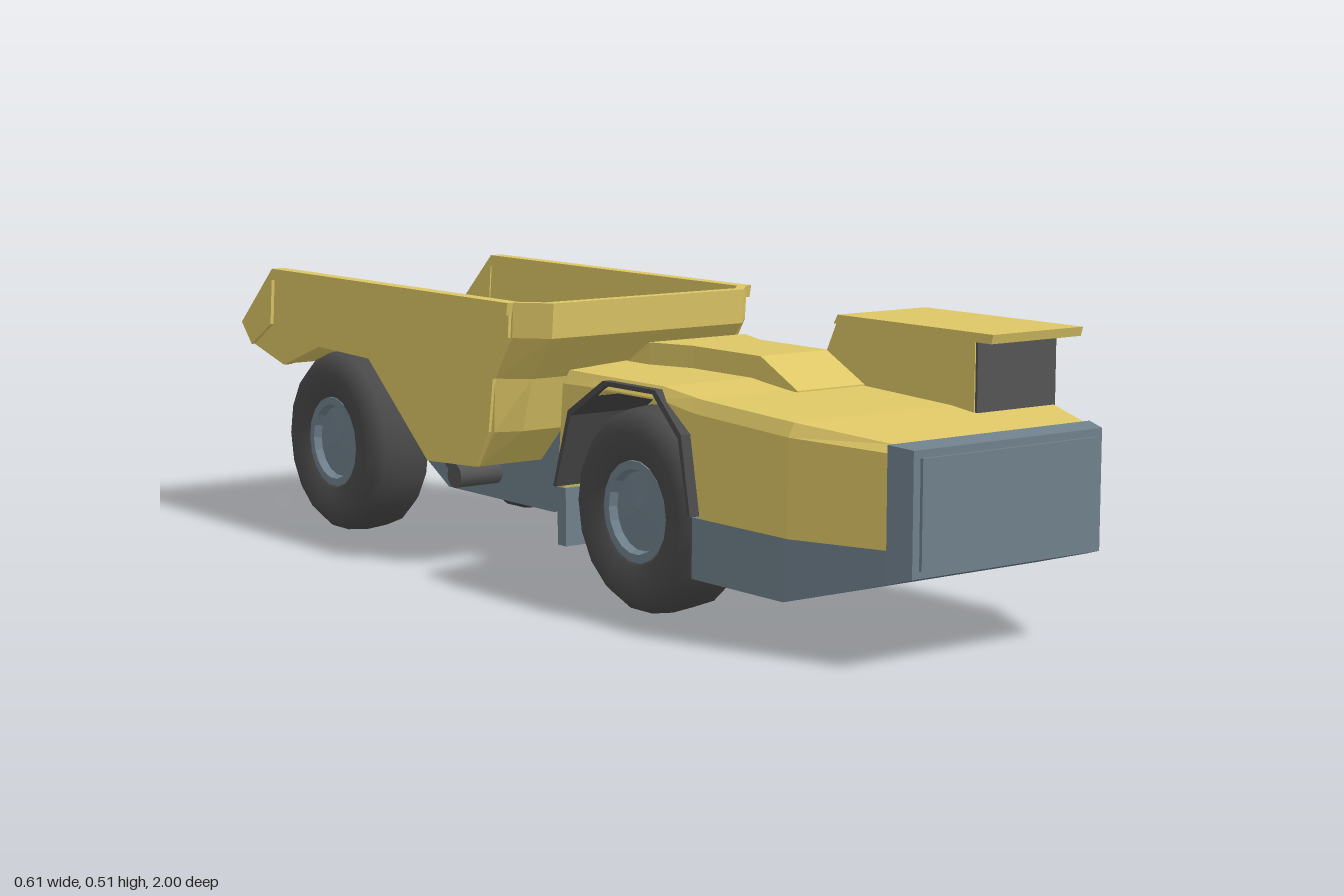
import * as THREE from 'three';

const paint = (color, side = THREE.FrontSide) => new THREE.MeshStandardMaterial({ color, side });
const yellow = paint(0xdec766), steel = paint(0x70818d), dark = paint(0x555555), rubber = paint(0x4a4a4a, THREE.DoubleSide);

export function createModel() {
  const root = new THREE.Group();

  const add = (name, geo, mat) => {
    const m = new THREE.Mesh(geo, mat);
    m.name = name;
    root.add(m);
    return m;
  };

  // Flat-faced skin over rings of [x, y, z]; rings run counter-clockwise seen from the first end
  const loft = (name, rings, mat) => {
    const v = [], n = rings[0].length;
    const tri = (a, b, c) => v.push(...a, ...b, ...c);
    for (let s = 0; s + 1 < rings.length; s++) {
      for (let i = 0; i < n; i++) {
        const j = (i + 1) % n, a = rings[s], b = rings[s + 1];
        tri(a[i], b[i], b[j]);
        tri(a[i], b[j], a[j]);
      }
    }
    // end caps, triangulated so that concave rings work too
    const cap = (ring, reverse) => {
      const spread = k => Math.max(...ring.map(p => p[k])) - Math.min(...ring.map(p => p[k]));
      const skip = [0, 1, 2].reduce((a, b) => (spread(b) < spread(a) ? b : a));
      const flat = ring.map(p => skip === 0 ? new THREE.Vector2(-p[2], p[1])
        : skip === 1 ? new THREE.Vector2(p[0], -p[2]) : new THREE.Vector2(p[0], p[1]));
      for (const [a, b, c] of THREE.ShapeUtils.triangulateShape(flat, [])) {
        if (reverse) tri(ring[c], ring[b], ring[a]);
        else tri(ring[a], ring[b], ring[c]);
      }
    };
    cap(rings[0], false);
    cap(rings[rings.length - 1], true);
    const g = new THREE.BufferGeometry();
    g.setAttribute('position', new THREE.Float32BufferAttribute(v, 3));
    g.computeVertexNormals();
    return add(name, g, mat);
  };
  const rect = (z, hw, lo, hi, zTop = z) => [[hw, lo, z], [hw, hi, zTop], [-hw, hi, zTop], [-hw, lo, z]];

  // Side outline of [z, y] points extruded from x0 to x1
  const slab = (name, pts, x0, x1, mat) => {
    const g = new THREE.ExtrudeGeometry(new THREE.Shape(pts.map(p => new THREE.Vector2(...p))), { depth: x1 - x0, bevelEnabled: false });
    g.rotateY(-Math.PI / 2).translate(x1, 0, 0);
    return add(name, g, mat);
  };
  const pair = (name, pts, x0, x1, mat) => [slab(name + 'Left', pts, x0, x1, mat), slab(name + 'Right', pts, -x1, -x0, mat)];
  const box = (name, w, h, d, x, y, z, mat) => add(name, new THREE.BoxGeometry(w, h, d).translate(x, y, z), mat);
  const rod = (name, a, b, r, mat, sides = 12) => {
    const A = new THREE.Vector3(...a), B = new THREE.Vector3(...b);
    const m = add(name, new THREE.CylinderGeometry(r, r, A.distanceTo(B), sides), mat);
    m.position.copy(A).add(B).multiplyScalar(0.5);
    m.quaternion.setFromUnitVectors(new THREE.Vector3(0, 1, 0), B.sub(A).normalize());
  };

  // Tractor body: z, half width, lower edge, shoulder, top, z of top
  const bodyStations = [
    [0.95, 0.222, 0.2, 0.355, 0.368], [0.78, 0.283, 0.2, 0.365, 0.388], [0.55, 0.283, 0.2, 0.375, 0.398],
    [0.525, 0.283, 0.34, 0.377, 0.4], [0.435, 0.283, 0.387, 0.39, 0.41], [0.285, 0.283, 0.387, 0.39, 0.41],
    [0.2, 0.283, 0.345, 0.388, 0.41], [0.16, 0.283, 0.2, 0.387, 0.41], [0.14, 0.283, 0.2, 0.386, 0.41, 0.16],
    [0.05, 0.11, 0.2, 0.385, 0.41, 0.11],
  ];
  loft('tractorBody', bodyStations.map(([z, w, lo, sh, top, zt = z]) => {
    const t = w > 0.2 ? w - 0.013 : w, zs = z + (zt - z) * 0.88;
    return [[w, lo, z], [w, sh, zs], [t, top, zt], [-t, top, zt], [-w, sh, zs], [-w, lo, z]];
  }), yellow);
  loft('engineBay', [rect(0.56, 0.14, 0.2, 0.39), rect(0.14, 0.14, 0.2, 0.39)], yellow);

  // Grey nose and lower hull
  loft('nose', [rect(0.994, 0.207, 0.158, 0.363), rect(0.95, 0.2225, 0.145, 0.3685)], steel);
  loft('lowerHull', [rect(0.95, 0.222, 0.145, 0.2), rect(0.77, 0.283, 0.095, 0.2), rect(0.53, 0.283, 0.095, 0.2)], steel);
  loft('belly', [rect(0.53, 0.14, 0.095, 0.2), rect(0.16, 0.14, 0.095, 0.2)], steel);
  loft('rearHull', [rect(0.165, 0.283, 0.095, 0.2), rect(0.14, 0.283, 0.095, 0.2), rect(0.05, 0.11, 0.095, 0.2)], steel);
  box('nosePanel', 0.385, 0.18, 0.008, 0, 0.26, 0.996, steel);

  // Raised hood behind the cab
  const hood = (z, l, r, y) => [[r, 0.39, z], [r, y, z], [-l, y, z], [-l, 0.39, z]];
  loft('hood', [hood(0.56, 0.08, 0.075, 0.4), hood(0.46, 0.08, 0.075, 0.45), hood(0.27, 0.08, 0.075, 0.45),
    hood(0.18, 0.11, 0.11, 0.45), hood(0.11, 0.11, 0.11, 0.405)], yellow);

  // Cab with glazed front corner, side windows and rear window
  loft('cab', [[0.5, 0.835, 0.485], [0.38, 0.835, 0.425]].map(([y, f, b]) =>
    [[0.07, y, f], [0.25, y, f], [0.268, y, 0.785], [0.268, y, b], [0.07, y, b]]), yellow);
  loft('windscreen', [0.499, 0.38].map(y =>
    [[0.072, y, 0.79], [0.072, y, 0.84], [0.252, y, 0.84], [0.27, y, 0.79]]), dark);
  slab('cabRoof', [[0.88, 0.515], [0.875, 0.499], [0.48, 0.499], [0.49, 0.515]], 0.068, 0.274, yellow);
  slab('sideWindowFront', [[0.77, 0.495], [0.66, 0.495], [0.66, 0.392], [0.77, 0.392]], 0.26, 0.271, dark);
  slab('sideWindowRear', [[0.635, 0.495], [0.57, 0.495], [0.53, 0.4], [0.635, 0.392]], 0.26, 0.271, dark);
  slab('rearWindow', [[0.48, 0.495], [0.478, 0.487], [0.444, 0.425], [0.452, 0.425]], 0.09, 0.245, dark);

  // Rubber fender strips following the wheel arches
  const arch = [[0.55, 0.205], [0.525, 0.34], [0.435, 0.405], [0.285, 0.405], [0.2, 0.345], [0.155, 0.205]];
  const archInner = arch.map(([z, y]) => [z + (z > 0.35 ? -0.008 : 0.008), y > 0.3 ? y - 0.008 : y]).reverse();
  for (const m of pair('fender', [...arch, ...archInner], 0.14, 0.303, rubber)) {
    const p = m.geometry.attributes.position;
    for (let i = 0; i < p.count; i++) {
      if (Math.abs(p.getX(i)) > 0.2 && p.getY(i) > 0.38) p.setX(i, Math.sign(p.getX(i)) * 0.289);
    }
    m.geometry.computeVertexNormals();
  }

  // Wheels
  const lathe = pts => new THREE.LatheGeometry(pts.map(p => new THREE.Vector2(...p)), 18);
  const tire = lathe([[0.08, -0.05], [0.095, -0.064], [0.14, -0.0715], [0.163, -0.062], [0.178, -0.045], [0.182, 0],
    [0.178, 0.045], [0.163, 0.062], [0.14, 0.0715], [0.095, 0.064], [0.085, 0.045]]);
  const rim = lathe([[0.001, -0.055], [0.09, -0.055], [0.09, 0.06], [0.075, 0.06], [0.07, 0.045], [0.001, 0.05]]).toNonIndexed();
  rim.computeVertexNormals();
  for (const [end, z] of [['front', 0.355], ['rear', -0.655]]) {
    for (const s of [1, -1]) {
      const wheel = new THREE.Group();
      wheel.name = end + (s > 0 ? 'WheelLeft' : 'WheelRight');
      for (const [name, g, m] of [['tire', tire, rubber], ['rim', rim, steel]]) {
        const mesh = new THREE.Mesh(g, m);
        mesh.name = name;
        wheel.add(mesh);
      }
      wheel.position.set(s * 0.2125, 0.183, z);
      wheel.rotation.z = -s * Math.PI / 2;
      root.add(wheel);
    }
    rod(end + 'Axle', [-0.17, 0.183, z], [0.17, 0.183, z], 0.05, steel);
  }

  // Articulated joint
  for (const y of [0.345, 0.315, 0.13, 0.105]) box('hingePlate', 0.18, 0.014, 0.1, 0, y, 0.02, steel);
  box('hingeMount', 0.2, 0.1, 0.03, 0, 0.32, 0.065, steel);
  rod('hingePinUpper', [0, 0.295, 0.02], [0, 0.365, 0.02], 0.022, steel);
  rod('hingePinLower', [0, 0.093, 0.02], [0, 0.15, 0.02], 0.022, steel);
  box('jointCover', 0.12, 0.11, 0.03, 0, 0.215, 0.03, steel);

  // Rear frame
  slab('rearFrame', [[-0.02, 0.36], [-0.03, 0.12], [-0.09, 0.105], [-0.45, 0.105], [-0.53, 0.15], [-0.8, 0.19],
    [-0.82, 0.26], [-0.55, 0.23], [-0.3, 0.195], [-0.13, 0.2], [-0.06, 0.28], [-0.045, 0.36]], -0.13, 0.13, steel);

  // Dump body: front wall with chamfered corners
  const frontWall = [[0.04, 0.515], [0.035, 0.45], [-0.03, 0.37], [-0.06, 0.27], [-0.13, 0.2], [-0.3, 0.19],
    [-0.3, 0.205], [-0.18, 0.225], [-0.1, 0.28], [-0.025, 0.42], [0.015, 0.515]];
  loft('binFrontWall', [0.27, 0.22, -0.22, -0.27].map(x => frontWall.map(([z, y]) => {
    const back = Math.abs(x) > 0.25 ? 0.055 * Math.min(1, Math.max(0, (y - 0.2) / 0.2)) : 0;
    return [x, y, z - back];
  })), yellow);

  // Dump body: sides, rails, floor and wheel humps
  pair('binSide', [[-0.02, 0.515], [-0.025, 0.45], [-0.075, 0.37], [-0.09, 0.27], [-0.13, 0.2], [-0.3, 0.19],
    [-0.51, 0.365], [-0.7, 0.37], [-0.84, 0.32], [-0.96, 0.352], [-1, 0.395], [-0.87, 0.515]], 0.258, 0.276, yellow);
  pair('binRail', [[-0.015, 0.515], [-0.02, 0.492], [-0.88, 0.492], [-0.87, 0.515]], 0.254, 0.283, yellow);
  pair('tailCheek', [[-0.87, 0.515], [-0.88, 0.4], [-0.96, 0.352], [-1, 0.395]], 0.255, 0.283, yellow);
  slab('binFloor', [[-0.28, 0.205], [-0.28, 0.19], [-0.85, 0.33], [-0.96, 0.352], [-0.99, 0.385], [-0.95, 0.385]], -0.12, 0.12, yellow);
  pair('wheelHump', [[-0.28, 0.205], [-0.28, 0.19], [-0.51, 0.368], [-0.7, 0.37], [-0.84, 0.322], [-0.96, 0.352],
    [-0.99, 0.385], [-0.95, 0.385], [-0.82, 0.353], [-0.68, 0.398], [-0.51, 0.398]], 0.112, 0.26, yellow);
  slab('tailLip', [[-0.97, 0.387], [-0.965, 0.36], [-0.998, 0.393]], -0.27, 0.27, yellow);
  pair('tailRib', [[-0.78, 0.31], [-0.82, 0.26], [-0.92, 0.31], [-0.96, 0.355]], 0.085, 0.125, yellow);

  // Tipping cylinders
  for (const s of [1, -1]) {
    const x = s * 0.2;
    rod('tipCylinder', [x, 0.175, -0.31], [x, 0.3, -0.48], 0.021, dark);
    rod('tipRod', [x, 0.29, -0.47], [x, 0.345, -0.545], 0.013, steel);
    rod('tipPinLower', [s * 0.12, 0.158, -0.285], [s * 0.225, 0.158, -0.285], 0.024, dark);
    rod('tipPinUpper', [s * 0.17, 0.345, -0.545], [s * 0.23, 0.345, -0.545], 0.02, dark);
  }
  return root;
}
